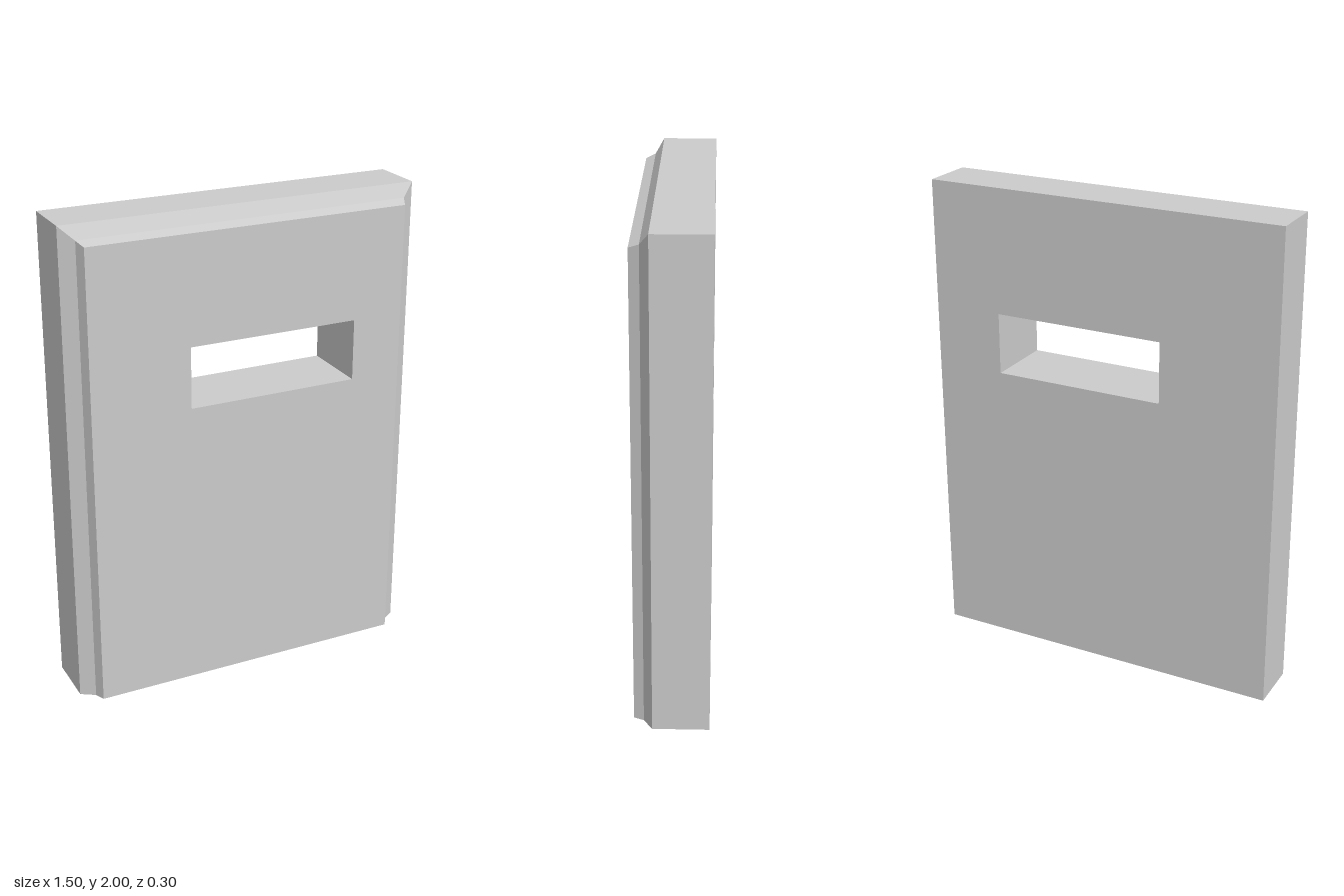
import * as THREE from 'three';
import { mergeGeometries } from 'three/addons/utils/BufferGeometryUtils.js';

// slot opening through the panel
const SLOT = { x0: -0.26, x1: 0.46, y0: 1.225, y1: 1.48 };
const BACK = -0.15, FRONT = 0.15;

// counter-clockwise rectangle in the plane z
const rect = (x0, x1, y0, y1, z) => [[x0, y0, z], [x1, y0, z], [x1, y1, z], [x0, y1, z]];

// flat-shaded skin between consecutive closed rings
function loft(rings) {
  const pos = [];
  for (let i = 0; i < rings.length - 1; i++) {
    const n = rings[i].length;
    for (let j = 0; j < n; j++) {
      const k = (j + 1) % n;
      const a = rings[i][j], b = rings[i][k], c = rings[i + 1][k], d = rings[i + 1][j];
      pos.push(...a, ...b, ...c, ...a, ...c, ...d);
    }
  }
  const g = new THREE.BufferGeometry();
  g.setAttribute('position', new THREE.Float32BufferAttribute(pos, 3));
  g.computeVertexNormals();
  return g;
}

// flat face with the slot cut out; side = 1 faces front, -1 faces back
function face(w, h, z, side) {
  const toPath = (pts) => pts.map(([x, y]) => new THREE.Vector2(x * side, y));
  const shape = new THREE.Shape(toPath(rect(-w, w, 0, h, 0)));
  shape.holes.push(new THREE.Path(toPath(rect(SLOT.x0, SLOT.x1, SLOT.y0, SLOT.y1, 0))));
  let g = new THREE.ShapeGeometry(shape);
  if (side < 0) g.rotateY(Math.PI);
  g.translate(0, 0, z);
  g = g.toNonIndexed();
  g.deleteAttribute('uv');
  return g;
}

export function createModel() {
  const group = new THREE.Group();
  group.name = 'slottedPanel';

  // outer skin: straight edge, then a two-step hollow bevel on the sides and top
  const profile = [[0.75, 2, BACK], [0.75, 2, 0.075], [0.693, 1.947, 0.11], [0.675, 1.93, FRONT]];
  const outer = loft(profile.map(([w, h, z]) => rect(-w, w, 0, h, z)));

  // slot walls, wound the other way to face inward
  const slot = loft([BACK, FRONT].map((z) => rect(SLOT.x0, SLOT.x1, SLOT.y0, SLOT.y1, z).reverse()));

  const panel = new THREE.Mesh(
    mergeGeometries([outer, slot, face(0.675, 1.93, FRONT, 1), face(0.75, 2, BACK, -1)]),
    new THREE.MeshStandardMaterial({ color: 0xcccccc, flatShading: true })
  );
  panel.name = 'panel';
  group.add(panel);
  return group;
}
